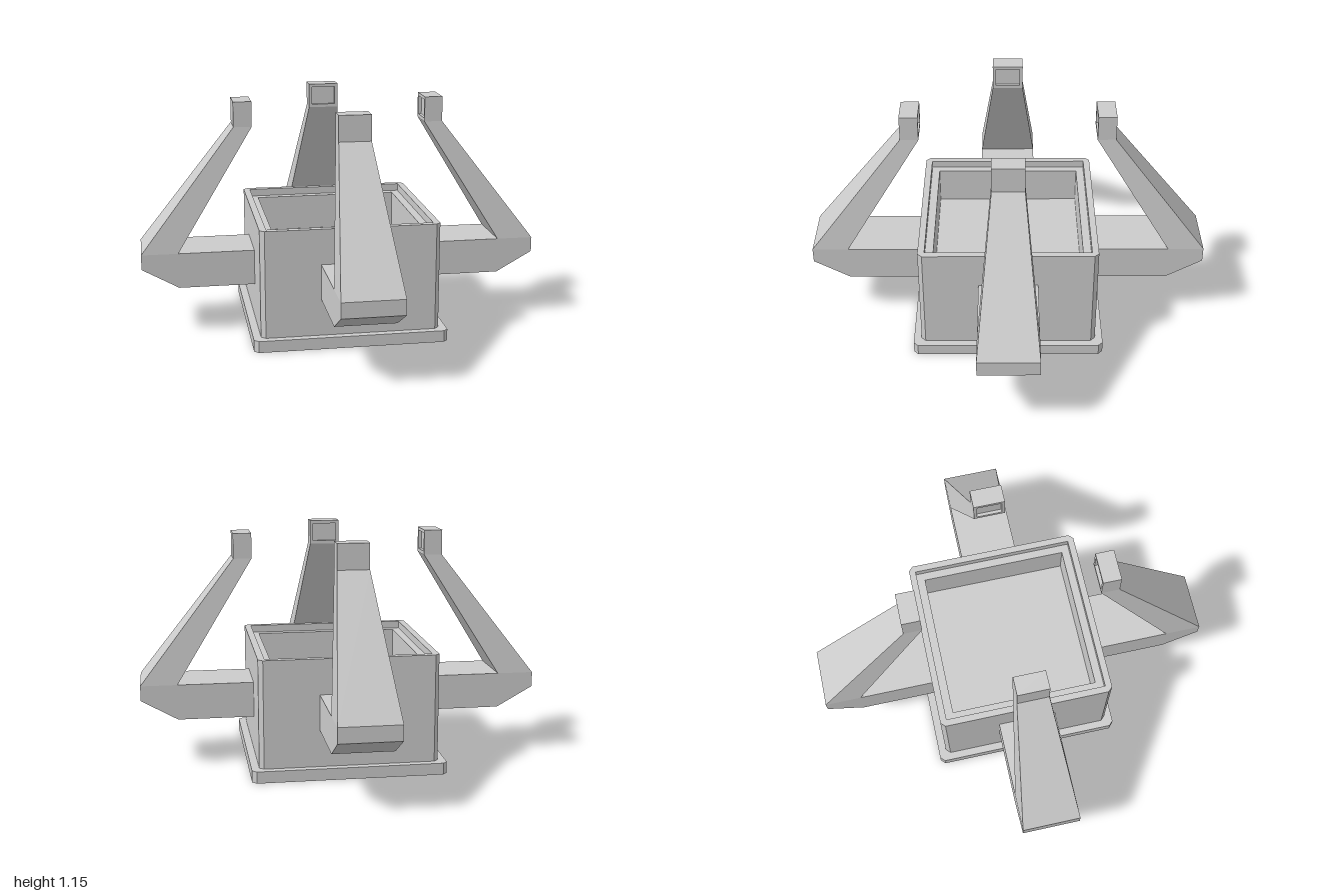
import * as THREE from 'three';

const material = new THREE.MeshStandardMaterial({ color: 0xcccccc, flatShading: true });

// Skins a list of equal-length rings (counter-clockwise seen from the far end), with optional caps.
function loft(name, rings, capStart, capEnd) {
  const pos = [];
  const tri = (a, b, c) => {
    const area = b.clone().sub(a).cross(c.clone().sub(a)).length();
    if (area > 1e-7) for (const p of [a, b, c]) pos.push(p.x, p.y, p.z);
  };
  for (let k = 0; k + 1 < rings.length; k++) {
    const r0 = rings[k], r1 = rings[k + 1];
    r0.forEach((a, i) => {
      const j = (i + 1) % r0.length;
      tri(a, r0[j], r1[j]);
      tri(a, r1[j], r1[i]);
    });
  }
  const cap = (r, flip) => {
    for (let i = 1; i + 1 < r.length; i++) {
      if (flip) tri(r[0], r[i + 1], r[i]);
      else tri(r[0], r[i], r[i + 1]);
    }
  };
  if (capStart) cap(rings[0], true);
  if (capEnd) cap(rings[rings.length - 1], false);
  const geometry = new THREE.BufferGeometry();
  geometry.setAttribute('position', new THREE.Float32BufferAttribute(pos, 3));
  geometry.computeVertexNormals();
  const mesh = new THREE.Mesh(geometry, material);
  mesh.name = name;
  return mesh;
}

// Horizontal square of half size h with corners cut by c
function squareRing([h, c, y]) {
  const k = h - c;
  return [[h, -k], [h, k], [k, h], [-k, h], [-h, k], [-h, -k], [-k, -h], [k, -h]]
    .map(([x, u]) => new THREE.Vector3(x, y, -u));
}

// Arm section between an outer and an inner profile point (z, y), with half width w
function armRing([w, zo, yo, zi, yi]) {
  return [[w, yo, zo], [w, yi, zi], [-w, yi, zi], [-w, yo, zo]].map(p => new THREE.Vector3(...p));
}

// Upright rectangle for the tip, facing the middle of the model
function tipRing([w, y0, y1, z]) {
  return [[w, y0, z], [-w, y0, z], [-w, y1, z], [w, y1, z]].map(p => new THREE.Vector3(...p));
}

function createArm() {
  const arm = new THREE.Group();
  const wide = 0.147, slim = 0.0775;
  // horizontal root, bevelled elbow, tapering upper limb
  arm.add(loft('armLimb', [
    [wide, 0.435, 0.24, 0.435, 0.417],
    [wide, 0.818, 0.24, 0.818, 0.417],
    [wide, 1, 0.342, 0.818, 0.417],
    [wide, 1, 0.417, 0.818, 0.417],
    [slim, 0.527, 1.03, 0.436, 1.03],
  ].map(armRing), true, false));
  // block tip with a recessed inner face
  const m = 0.016;
  arm.add(loft('armTip', [
    [slim, 1.03, 1.155, 0.527],
    [slim, 1.03, 1.155, 0.436],
    [slim - m, 1.03 + m, 1.155 - m, 0.436],
    [slim - m, 1.03 + m, 1.155 - m, 0.452],
  ].map(tipRing), true, true));
  return arm;
}

export function createModel() {
  const model = new THREE.Group();
  model.name = 'fourArmedBox';

  model.add(loft('basePlate', [
    [0.479, 0.022, 0], [0.479, 0.022, 0.058], [0.44, 0.022, 0.058],
  ].map(squareRing), true, false));

  // box walls, rim, stepped ledge and sunken floor
  model.add(loft('openBox', [
    [0.441, 0.022, 0.058], [0.441, 0.022, 0.594], [0.408, 0, 0.594],
    [0.408, 0, 0.557], [0.368, 0, 0.557], [0.368, 0, 0.375],
  ].map(squareRing), false, true));

  ['frontArm', 'leftArm', 'backArm', 'rightArm'].forEach((name, i) => {
    const arm = createArm();
    arm.name = name;
    arm.rotation.y = i * Math.PI / 2;
    model.add(arm);
  });
  return model;
}
